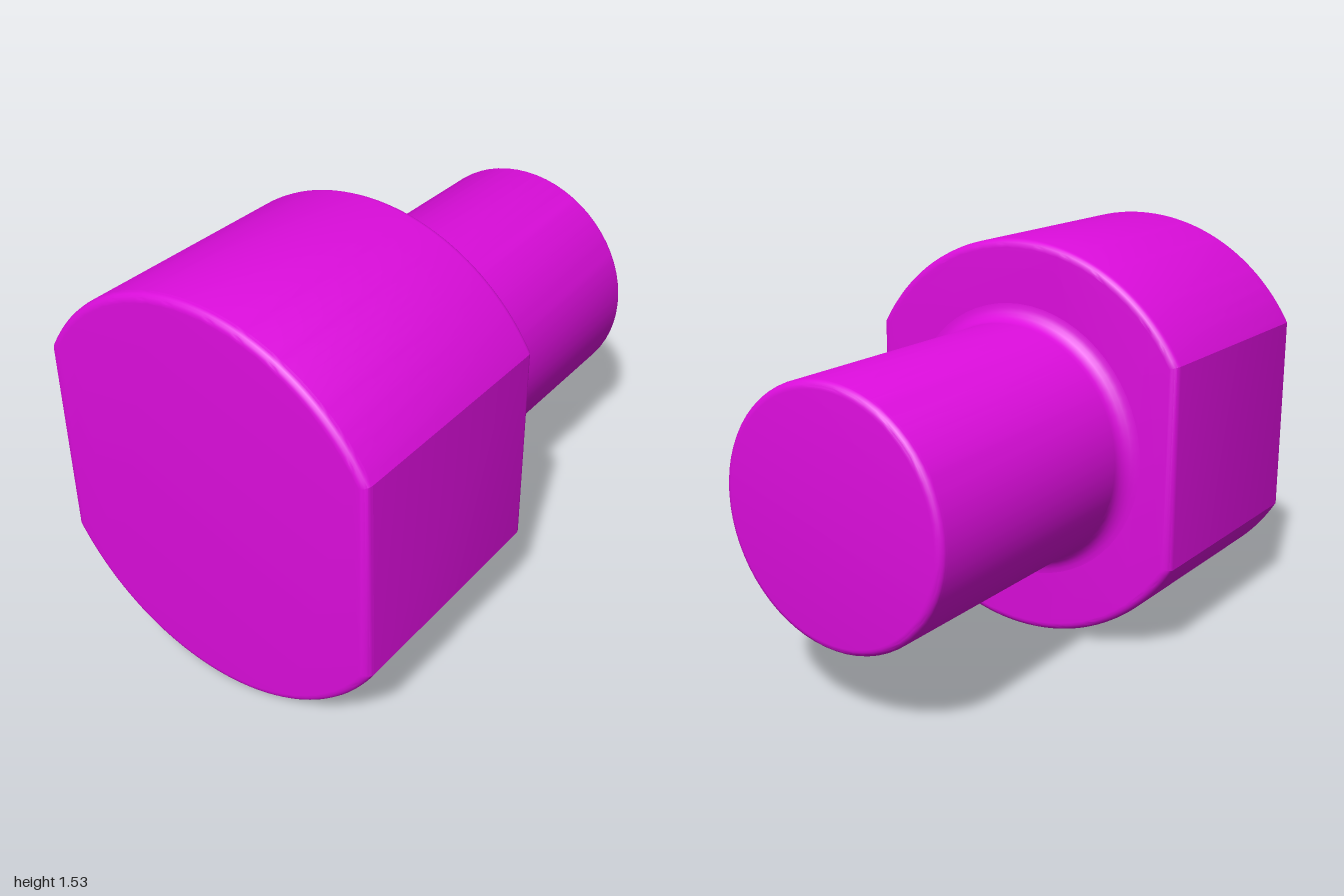
import * as THREE from 'three';
import { toCreasedNormals } from 'three/addons/utils/BufferGeometryUtils.js';

const CENTER_Y = 0.767;
const HEAD_R = 0.767, FLAT_X = 0.665, HEAD_BACK = 0.07, HEAD_FRONT = 1;
const SHAFT_R = 0.465, SHAFT_END = -1;
const EDGE = 0.03, FILLET = 0.065;
const CREASE = 0.4;

// Round head with two flats, edges rounded at both ends
function headGeometry() {
  const a = Math.acos(FLAT_X / HEAD_R);
  const shape = new THREE.Shape();
  shape.absarc(0, 0, HEAD_R, a, Math.PI - a, false);
  shape.absarc(0, 0, HEAD_R, Math.PI + a, 2 * Math.PI - a, false);
  shape.closePath();
  const geo = new THREE.ExtrudeGeometry(shape, {
    depth: HEAD_FRONT - HEAD_BACK - 2 * EDGE,
    curveSegments: 28,
    bevelSize: EDGE,
    bevelOffset: -EDGE,
    bevelThickness: EDGE,
    bevelSegments: 5,
  });
  geo.translate(0, 0, HEAD_BACK + EDGE);
  return toCreasedNormals(geo, CREASE);
}

// Turned shaft: concave fillet at the head, rounded rim, flat end
function shaftGeometry() {
  const pts = [];
  const steps = 6;
  for (let i = 0; i <= steps; i++) {
    const t = (i / steps) * Math.PI / 2;
    pts.push(new THREE.Vector2(
      SHAFT_R + FILLET * (1 - Math.sin(t)),
      -HEAD_BACK + FILLET * (1 - Math.cos(t))));
  }
  for (let i = 0; i <= steps; i++) {
    const t = (i / steps) * Math.PI / 2;
    pts.push(new THREE.Vector2(
      SHAFT_R - EDGE * (1 - Math.cos(t)),
      -SHAFT_END - EDGE * (1 - Math.sin(t))));
  }
  pts.push(new THREE.Vector2(0, -SHAFT_END));
  const geo = new THREE.LatheGeometry(pts, 64);
  geo.rotateX(-Math.PI / 2);
  return toCreasedNormals(geo, CREASE);
}

export function createModel() {
  const magenta = new THREE.MeshStandardMaterial({ color: 0xdd0ddd });
  magenta.name = 'magenta';

  const group = new THREE.Group();
  group.name = 'flatSidedPin';
  const parts = { head: headGeometry(), shaft: shaftGeometry() };
  for (const [name, geo] of Object.entries(parts)) {
    const mesh = new THREE.Mesh(geo, magenta);
    mesh.name = name;
    mesh.position.y = CENTER_Y;
    group.add(mesh);
  }
  return group;
}
